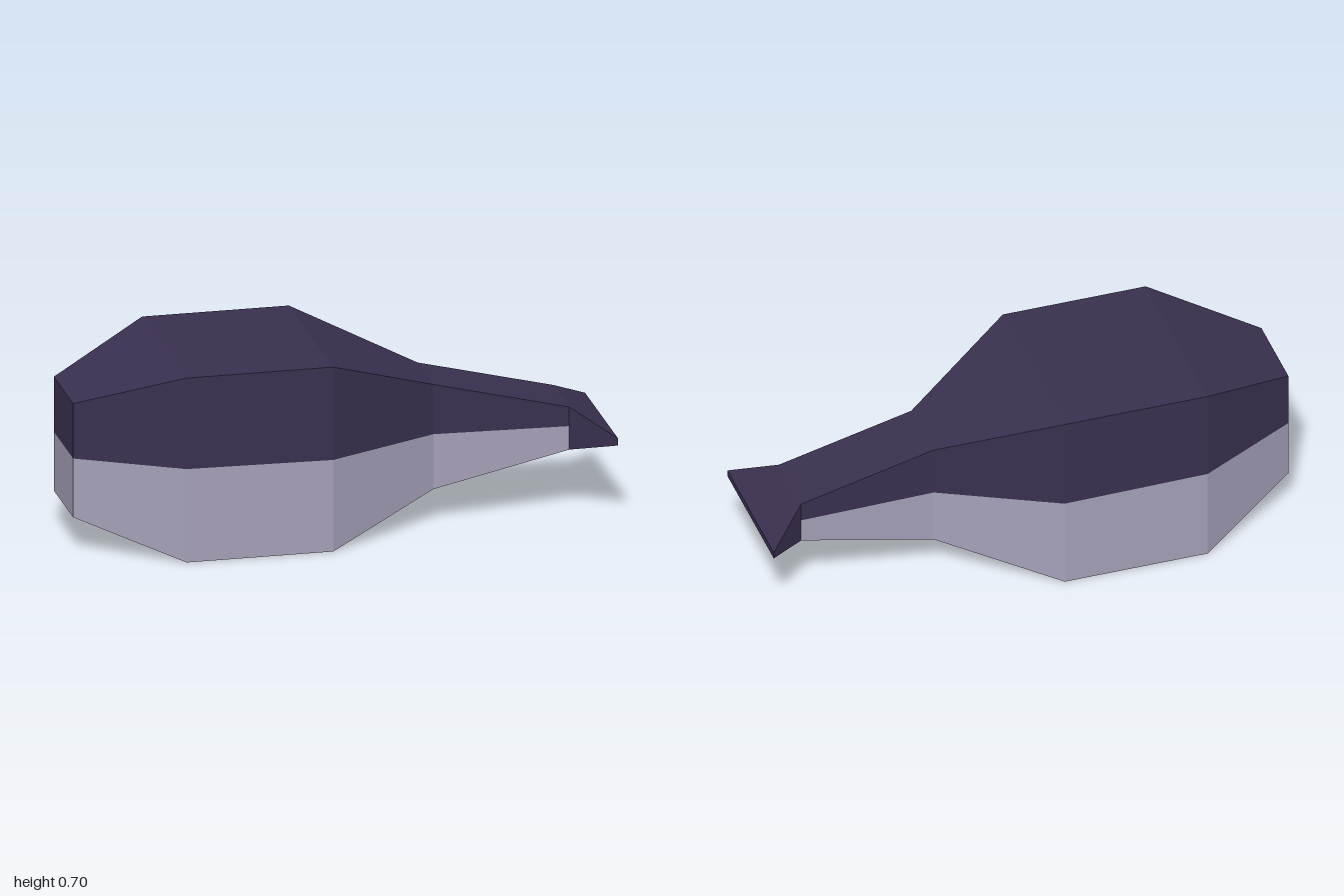
import * as THREE from 'three';

const dark = new THREE.MeshStandardMaterial({ color: 0x3a3050 });
dark.name = 'dark purple';
const pale = new THREE.MeshStandardMaterial({ color: 0xa5a0b8 });
pale.name = 'pale grey';

// Hull stations along x: bottom, colour line, top, half width
const stations = [
  { x: -1, lo: 0.135, mid: 0.36, hi: 0.57, w: 0.155 },
  { x: -0.625, lo: 0, mid: 0.357, hi: 0.705, w: 0.355 },
  { x: -0.08, lo: 0, mid: 0.35, hi: 0.705, w: 0.355 },
  { x: 0.345, lo: 0.13, mid: 0.34, hi: 0.53, w: 0.127 },
  { x: 0.85, lo: 0.242, mid: 0.332, hi: 0.405, w: 0.127 },
  { x: 1, lo: 0.292, mid: 0.305, hi: 0.318, w: 0.265 },
];

// Corner paths: level of the station and side of the model
const upper = [['mid', 1], ['hi', 1], ['hi', -1], ['mid', -1]];
const lower = [['mid', -1], ['lo', -1], ['lo', 1], ['mid', 1]];
const around = [['lo', 1], ['hi', 1], ['hi', -1], ['lo', -1], ['lo', 1]];

const corner = (s, [level, side]) => [s.x, s[level], side * s.w];
const quad = (a, b, c, d) => [a, b, c, a, c, d];

// Flat faces joining neighbouring stations along a corner path
function skin(path, from, to) {
  const points = [];
  for (let i = from; i < to; i++) {
    const s = stations[i], t = stations[i + 1];
    for (let k = 0; k < path.length - 1; k++) {
      points.push(...quad(corner(s, path[k]), corner(t, path[k]),
        corner(t, path[k + 1]), corner(s, path[k + 1])));
    }
  }
  return points;
}

const cap = (path, s) => quad(...path.slice(0, 4).map((p) => corner(s, p)));

function part(name, points, material) {
  const geometry = new THREE.BufferGeometry();
  geometry.setAttribute('position', new THREE.Float32BufferAttribute(points.flat(), 3));
  geometry.computeVertexNormals();
  const mesh = new THREE.Mesh(geometry, material);
  mesh.name = name;
  return mesh;
}

export function createModel() {
  const model = new THREE.Group();
  model.name = 'body';
  const nose = stations[0], tip = stations[5];

  // Body with its dark back and pale belly
  model.add(part('upperBody', [...skin(upper, 0, 4), ...cap(upper, nose)], dark));
  model.add(part('belly', [...skin(lower, 0, 3), ...cap(lower, nose)], pale));

  // Narrow rear: pale lower sides over a dark underside
  model.add(part('rearSides', [...skin(lower.slice(0, 2), 3, 4), ...skin(lower.slice(2), 3, 4)], pale));
  model.add(part('rearUnderside', skin(lower.slice(1, 3), 3, 4), dark));

  // Flared tail, closed at its thin edge
  const edge = [...around.slice(0, 4)].reverse();
  model.add(part('tail', [...skin(around, 4, 5), ...cap(edge, tip)], dark));
  return model;
}
